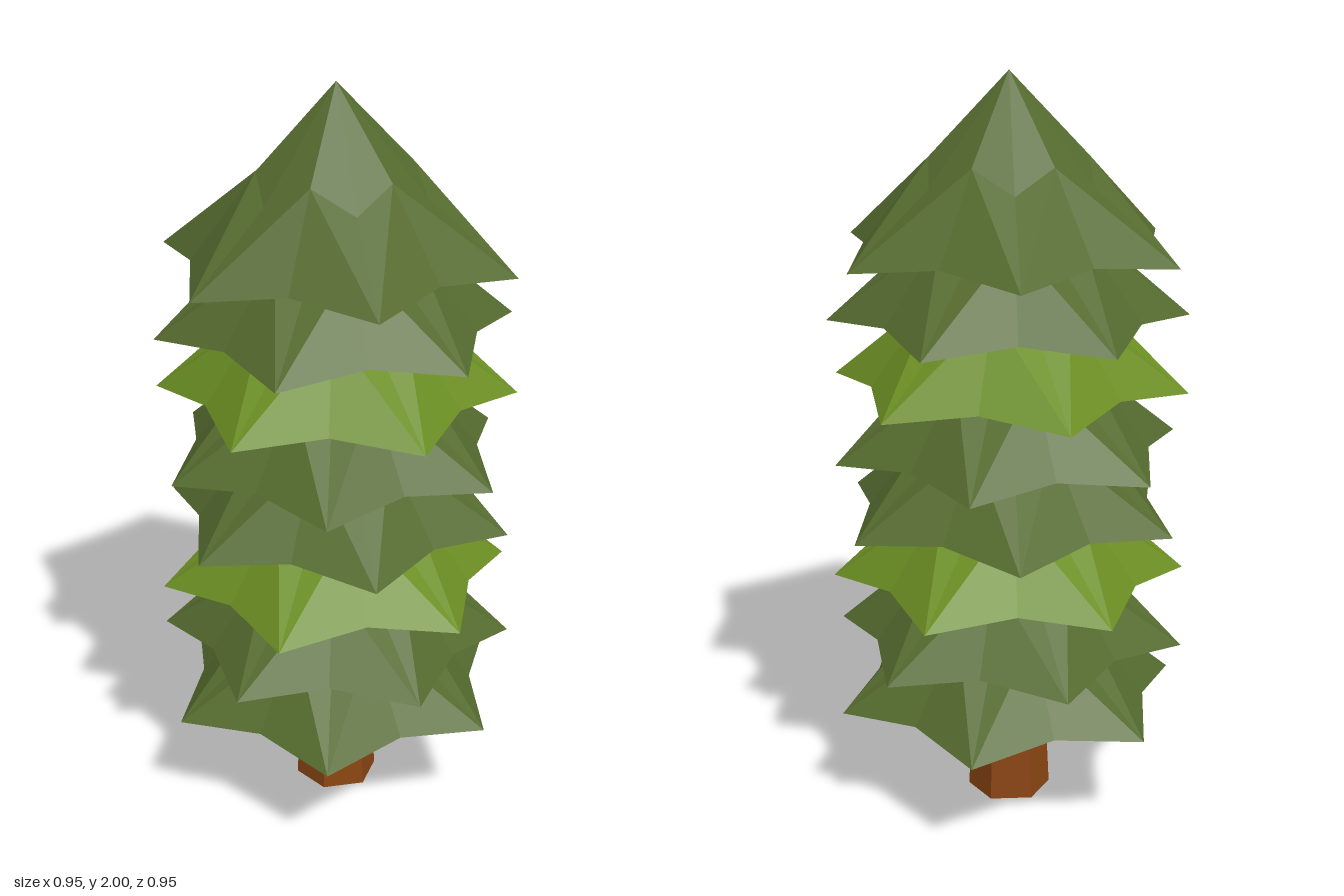
import * as THREE from 'three';

const DARK = new THREE.MeshStandardMaterial({ color: 0x556b2f, flatShading: true, side: THREE.DoubleSide });
const LIGHT = new THREE.MeshStandardMaterial({ color: 0x6b8e23, flatShading: true, side: THREE.DoubleSide });
const BARK = new THREE.MeshStandardMaterial({ color: 0x8b4513, flatShading: true });
const POINTS = 6;
const TWIST = 3.8; // degrees

// Open six-pointed skirt of branches; its tips lie at y = 0
function tierGeometry() {
  const apex = [0, 0.46, 0];
  const at = (i, r, y) => {
    const a = (i * Math.PI) / POINTS;
    return [r * Math.sin(a), y, r * Math.cos(a)];
  };
  // even columns are ridges ending in tips, odd columns are valleys
  const mid = (i) => (i % 2 ? at(i, 0.204, 0.245) : at(i, 0.238, 0.185));
  const rim = (i) => (i % 2 ? at(i, 0.374, 0.026) : at(i, 0.475, 0));
  const pos = [];
  for (let i = 0; i < POINTS * 2; i++) {
    const a = mid(i), b = mid(i + 1), c = rim(i), d = rim(i + 1);
    pos.push(...apex, ...a, ...b);
    // the diagonal always runs from the valley's middle to the tip
    if (i % 2) pos.push(...a, ...c, ...d, ...a, ...d, ...b);
    else pos.push(...a, ...c, ...b, ...b, ...c, ...d);
  }
  const g = new THREE.BufferGeometry();
  g.setAttribute('position', new THREE.Float32BufferAttribute(pos, 3));
  g.computeVertexNormals();
  return g;
}

export function createModel() {
  const tree = new THREE.Group();
  tree.name = 'pineTree';

  // Tapered six-sided trunk running up through the tiers
  const trunk = new THREE.Mesh(new THREE.CylinderGeometry(0.035, 0.113, 1.6, 6), BARK);
  trunk.name = 'trunk';
  trunk.position.y = 0.8;
  trunk.rotation.y = THREE.MathUtils.degToRad(30 + TWIST);
  tree.add(trunk);

  // Eight equal branch tiers, each turned against its neighbours
  const geometry = tierGeometry();
  const turns = [45, 15, 30, 0];
  for (let i = 0; i < 8; i++) {
    const tier = new THREE.Mesh(geometry, i === 2 || i === 5 ? LIGHT : DARK);
    tier.name = `branchTier${i + 1}`;
    tier.position.y = 0.29 + (i * 1.25) / 7;
    tier.rotation.y = THREE.MathUtils.degToRad(turns[i % 4] + TWIST);
    tree.add(tier);
  }
  return tree;
}
